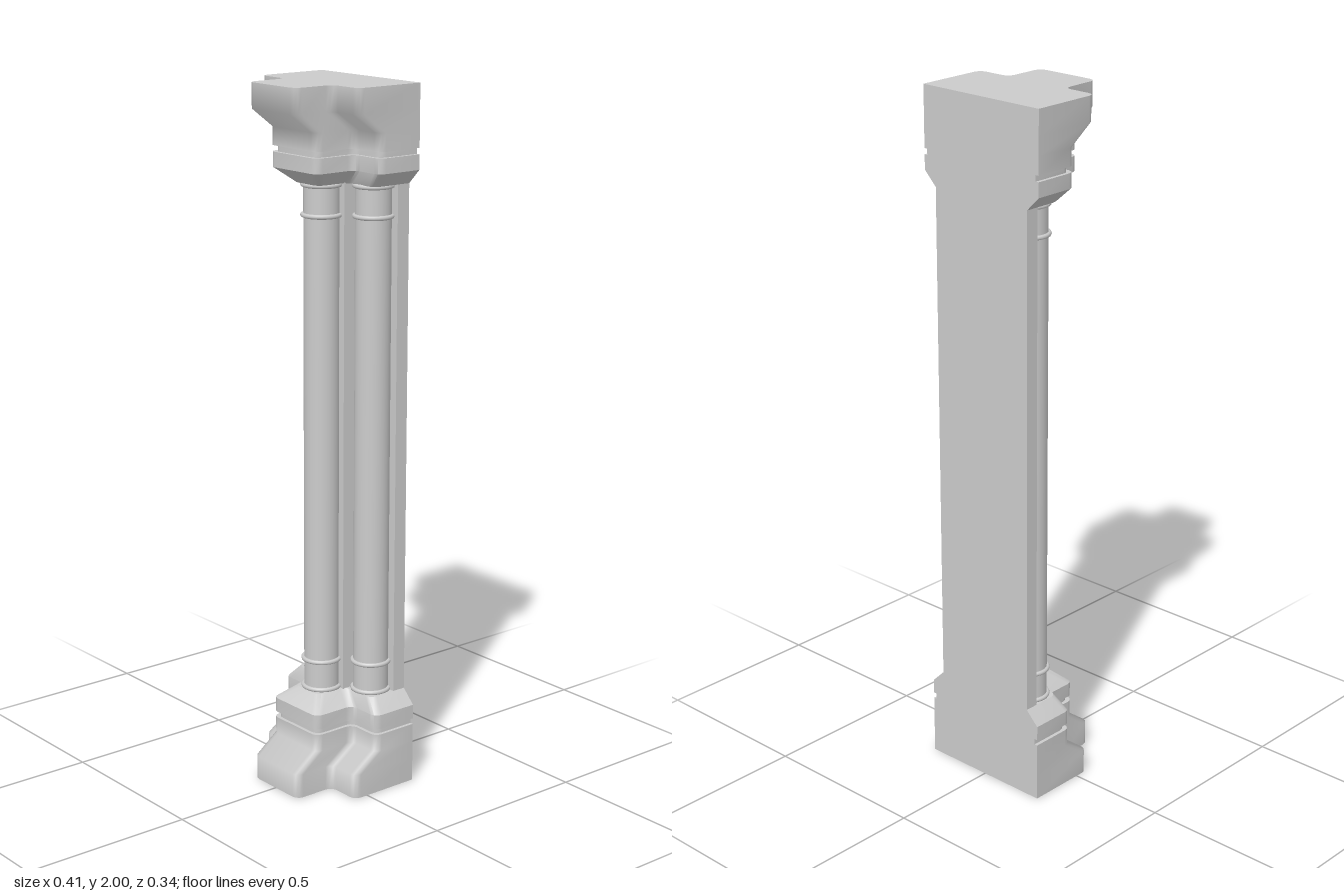
import * as THREE from 'three';
import { toCreasedNormals } from 'three/addons/utils/BufferGeometryUtils.js';

const BACK = -0.17, HEIGHT = 2;
const material = new THREE.MeshStandardMaterial({ color: 0xcccccc });

// T-shaped outline in x/z: arms (half width w, front a), stem (half width s, front f)
function section([w, a, s, f], r) {
  const half = [[w, BACK]];
  const arc = (cx, cz, from, to) => {
    for (let i = 0; i <= 3; i++) {
      const t = (from + (to - from) * i / 3) * Math.PI / 2;
      half.push([cx + r * Math.cos(t), cz + r * Math.sin(t)]);
    }
  };
  arc(w - r, a - r, 0, 1);   // outer arm corner
  arc(s + r, a + r, 3, 2);   // concave inner corner
  arc(s - r, f - r, 0, 1);   // stem corner
  return [...half, ...half.map(([x, z]) => [-x, z]).reverse()];
}

// Loft capped at both ends; levels run upward as [y, w, a, s, f]
function loft(levels, r, crease) {
  const rings = levels.map(([y, ...dims]) => section(dims, r).map(([x, z]) => [x, y, z]));
  const out = [];
  const n = rings[0].length;
  for (let k = 0; k + 1 < rings.length; k++) {
    const lo = rings[k], hi = rings[k + 1];
    for (let i = 0; i < n; i++) {
      const j = (i + 1) % n;
      out.push(...lo[i], ...hi[i], ...lo[j], ...hi[i], ...hi[j], ...lo[j]);
    }
  }
  const cap = (ring, up) => {
    const outline = ring.map(([x, , z]) => new THREE.Vector2(x, z));
    for (const [a, b, c] of THREE.ShapeUtils.triangulateShape(outline, [])) {
      out.push(...ring[a], ...ring[up ? c : b], ...ring[up ? b : c]);
    }
  };
  cap(rings[0], false);
  cap(rings[rings.length - 1], true);
  const geometry = new THREE.BufferGeometry();
  geometry.setAttribute('position', new THREE.Float32BufferAttribute(out, 3));
  return toCreasedNormals(geometry, crease);
}

function add(parent, name, geometry, x = 0, y = 0, z = 0) {
  const mesh = new THREE.Mesh(geometry, material);
  mesh.name = name;
  mesh.position.set(x, y, z);
  parent.add(mesh);
  return mesh;
}

export function createModel() {
  const model = new THREE.Group();
  model.name = 'clusteredPilaster';

  // Base, and the same mouldings upside down as the capital
  const body = [0.205, -0.03, 0.1, 0.1];
  const foot = [0.205, 0.045, 0.1, 0.17];
  const groove = [0.195, -0.04, 0.09, 0.09];
  const throat = [0.165, -0.045, 0.055, 0.055];
  const mouldings = [
    ['Plinth', 1.1, [[0, ...foot], [0.07, ...foot], [0.123, ...body], [0.173, ...body]]],
    ['Groove', 0.6, [[0.173, ...groove], [0.19, ...groove]]],
    ['Collar', 0.6, [[0.19, ...body], [0.232, ...body], [0.272, ...throat]]],
  ];
  for (const end of ['base', 'capital']) {
    const group = new THREE.Group();
    group.name = end;
    model.add(group);
    for (const [name, crease, levels] of mouldings) {
      const placed = end === 'base' ? levels
        : levels.map(([y, ...d]) => [HEIGHT - y, ...d]).reverse();
      add(group, end + name, loft(placed, 0.022, crease));
    }
  }

  // Flat backing and the core that fills the gap behind the middle column
  const length = 1.47;
  add(model, 'backing', new THREE.BoxGeometry(0.33, length, 0.04), 0, 1, BACK + 0.02);
  add(model, 'core', new THREE.BoxGeometry(0.12, length, 0.11), 0, 1, -0.085);

  // Three round columns with a pair of rings at each end
  const shaft = new THREE.CylinderGeometry(0.05, 0.05, length, 24);
  const ring = new THREE.TorusGeometry(0.052, 0.0065, 8, 28).rotateX(Math.PI / 2);
  for (const [name, x, z] of [['middle', 0, 0], ['left', 0.105, -0.095], ['right', -0.105, -0.095]]) {
    const column = new THREE.Group();
    column.name = name + 'Column';
    column.position.set(x, 0, z);
    model.add(column);
    add(column, 'shaft', shaft, 0, 1, 0);
    for (const y of [0.277, 0.36, HEIGHT - 0.36, HEIGHT - 0.277]) add(column, 'ring', ring, 0, y, 0);
  }
  return model;
}
